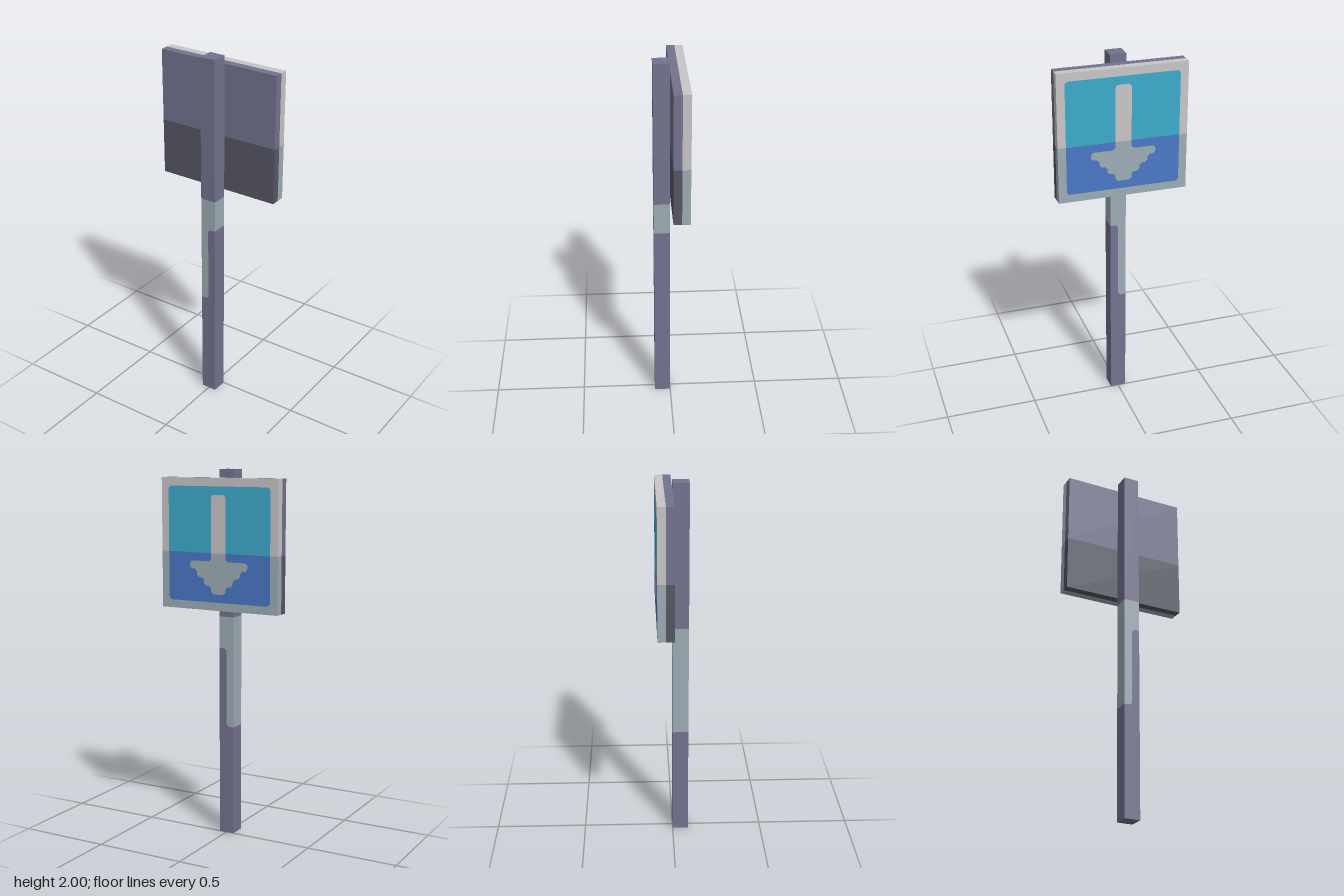
import * as THREE from 'three';

// everything sits on a square grid, 46 cells tall
const U = 2 / 46;
const CUT = 0.3; // corner cut, in cells

const material = (name, color) => {
  const m = new THREE.MeshStandardMaterial({ color });
  m.name = name;
  return m;
};

// polygon from [x, y, cut?] points in cells; flagged corners are cut off
function polygon(points) {
  const out = [];
  points.forEach((p, i) => {
    const here = new THREE.Vector2(p[0], p[1]);
    if (!p[2]) return out.push(here.multiplyScalar(U));
    for (const j of [i - 1, i + 1]) {
      const q = points[(j + points.length) % points.length];
      const step = new THREE.Vector2(q[0], q[1]).sub(here).setLength(CUT);
      out.push(here.clone().add(step).multiplyScalar(U));
    }
  });
  return new THREE.Shape(out);
}

export function createModel() {
  const model = new THREE.Group();
  model.name = 'signpost';
  const slate = material('slate', 0x73738f);
  const darkSlate = material('dark slate', 0x555764);
  const light = material('light grey', 0xc9c6c8);
  const pale = material('pale blue grey', 0x9eacb6);
  const teal = material('teal', 0x3cabcb);
  const blue = material('blue', 0x4a78c6);

  const add = (name, geometry, mat) => {
    const mesh = new THREE.Mesh(geometry, mat);
    mesh.name = name;
    model.add(mesh);
    return mesh;
  };
  const box = (name, mat, x0, x1, y0, y1, z0, z1) => {
    const g = new THREE.BoxGeometry((x1 - x0) * U, (y1 - y0) * U, (z1 - z0) * U);
    add(name, g, mat).position.set((x0 + x1) / 2 * U, (y0 + y1) / 2 * U, (z0 + z1) / 2 * U);
  };
  const poleSection = (name, mat, points) =>
    add(name, new THREE.ExtrudeGeometry(polygon(points), { depth: 2 * U, bevelEnabled: false }), mat);
  // thin painted face on the back of the board
  const plate = (name, mat, points, lift) => {
    const mesh = add(name, new THREE.ShapeGeometry(polygon(points)), mat);
    mesh.rotation.y = Math.PI;
    mesh.position.z = -2 * U - lift;
  };

  // pole with a worn pale band running further down one side
  poleSection('poleBottom', slate, [
    [-1, 0], [1, 0], [1, 24], [0, 24, 1], [0, 14, 1], [-1, 14]]);
  poleSection('poleBand', pale, [
    [-1, 14], [0, 14, 1], [0, 24, 1], [1, 24], [1, 28], [-1, 28]]);
  poleSection('poleTop', slate, [[-1, 28], [1, 28], [1, 46], [-1, 46]]);

  // board: backing and sign slab, each in two tones
  box('backingUpper', slate, -8, 8, 36, 45, -1, 0);
  box('backingLower', darkSlate, -8, 8, 29, 36, -1, 0);
  box('frameUpper', light, -8, 8, 36, 45, -2, -1);
  box('frameLower', pale, -8, 8, 29, 36, -2, -1);

  // coloured panel
  plate('panelUpper', teal, [[-7, 36], [7, 36], [7, 44, 1], [-7, 44, 1]], 0.0015);
  plate('panelLower', blue, [[-7, 30, 1], [7, 30, 1], [7, 36], [-7, 36]], 0.0015);

  // downward arrow: shaft, then a stepped head
  plate('arrowShaft', light, [[-1, 36], [1, 36], [1, 43, 1], [-1, 43, 1]], 0.003);
  const side = [[1, 36], [1, 35, 1]];
  for (let w = 4; w >= 1; w--) side.push([w, w + 31, 1], [w, w + 30, 1]);
  const mirrored = side.map(([x, y, c]) => [-x, y, c]).reverse();
  plate('arrowHead', pale, [...side, ...mirrored], 0.003);

  return model;
}
